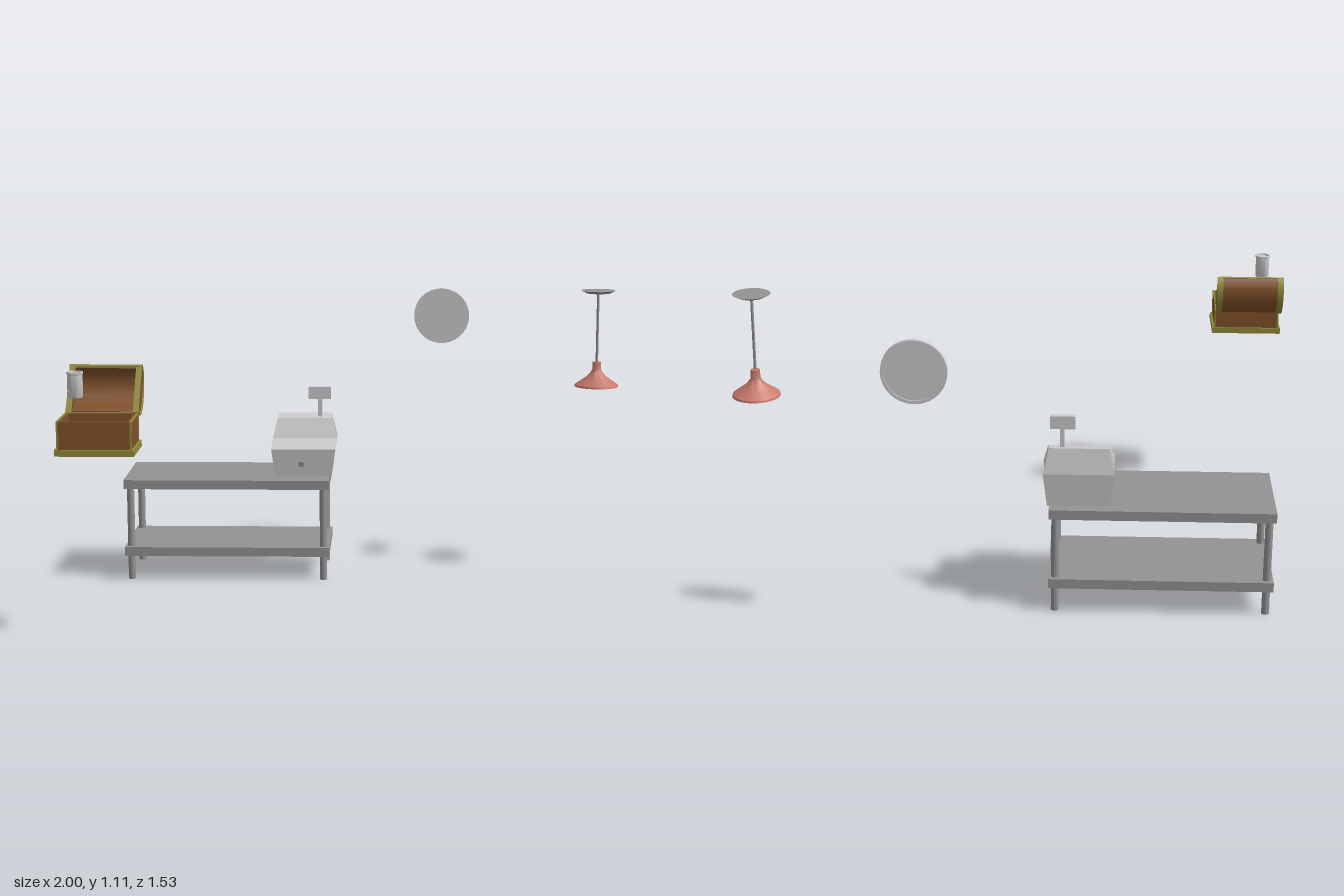
import * as THREE from 'three';
import { toCreasedNormals } from 'three/addons/utils/BufferGeometryUtils.js';

const material = (color) => new THREE.MeshStandardMaterial({ color, side: THREE.DoubleSide });
const grey = material(0xcccccc);
const steel = material(0x939393);
const wood = material(0x80512a);
const gold = material(0x8f8a3a);
const terracotta = material(0xc87a6c);

function add(parent, name, geometry, mat, x = 0, y = 0, z = 0) {
  const mesh = new THREE.Mesh(geometry, mat);
  mesh.name = name;
  mesh.position.set(x, y, z);
  parent.add(mesh);
  return mesh;
}

function subgroup(parent, name, x = 0, y = 0, z = 0) {
  const g = new THREE.Group();
  g.name = name;
  g.position.set(x, y, z);
  parent.add(g);
  return g;
}

const box = (w, h, d) => new THREE.BoxGeometry(w, h, d);
const cylinder = (rTop, rBottom, h, sides = 24) => new THREE.CylinderGeometry(rTop, rBottom, h, sides);
const lathe = (points, sides = 32) => toCreasedNormals(
  new THREE.LatheGeometry(points.map(([r, y]) => new THREE.Vector2(r, y)), sides), 0.6);

// Extrusion centred on its depth axis
function slab(shape, depth) {
  const g = new THREE.ExtrudeGeometry(shape, { depth, bevelEnabled: false, curveSegments: 16 });
  g.translate(0, 0, -depth / 2);
  return toCreasedNormals(g, 0.5);
}

function buildTable(root) {
  const table = subgroup(root, 'table', -0.517, 0, -0.381);
  add(table, 'tableTop', box(0.79, 0.035, 0.37), steel, 0, 0.377, 0);
  add(table, 'lowerShelf', box(0.79, 0.035, 0.37), steel, 0, 0.113, 0);
  for (const sx of [-1, 1]) for (const sz of [-1, 1])
    add(table, 'tableLeg', cylinder(0.014, 0.014, 0.37, 16), steel, sx * 0.372, 0.185, sz * 0.156);
}

function buildRegister(root) {
  const register = subgroup(root, 'cashRegister', -0.225, 0, 0);
  // Side profile: z, y and the half width at that height
  const profile = [
    [-0.298, 0.394, 0.11], [-0.286, 0.50, 0.124], [-0.418, 0.52, 0.125], [-0.455, 0.595, 0.108],
    [-0.516, 0.607, 0.105], [-0.535, 0.517, 0.125], [-0.525, 0.394, 0.11],
  ];
  const shape = new THREE.Shape(profile.map(([z, y]) => new THREE.Vector2(-z, y)));
  let body = new THREE.ExtrudeGeometry(shape, { depth: 2, bevelEnabled: false });
  body.translate(0, 0, -1);
  body.rotateY(Math.PI / 2);
  // Widen or narrow each profile corner to its own half width
  const p = body.attributes.position;
  for (let i = 0; i < p.count; i++) {
    const corner = profile.find(([z, y]) => Math.hypot(z - p.getZ(i), y - p.getY(i)) < 1e-4);
    p.setX(i, Math.sign(p.getX(i)) * corner[2]);
  }
  body.computeVertexNormals();
  add(register, 'registerBody', body, grey);

  const lock = add(register, 'drawerLock', cylinder(0.011, 0.011, 0.006, 16), steel, -0.008, 0.441, -0.292);
  lock.rotation.x = Math.PI / 2 + 0.11;
  add(register, 'displayPole', box(0.016, 0.08, 0.015), grey, 0.059, 0.635, -0.482);
  add(register, 'displayHead', box(0.088, 0.047, 0.021), grey, 0.058, 0.692, -0.482);
}

function buildWallDisc(root) {
  // Round plate with a raised rim on its back
  const disc = add(root, 'wallDisc', lathe([
    [0, 0.009], [0.111, 0.009], [0.111, -0.009], [0.1, -0.009], [0.1, -0.004], [0, -0.004],
  ].reverse(), 40), grey, 0.317, 0.967, -0.756);
  disc.rotation.x = Math.PI / 2;
}

function buildLamp(root) {
  const lamp = subgroup(root, 'hangingLamp', 0.911, 0, -0.383);
  add(lamp, 'ceilingMount', cylinder(0.066, 0.046, 0.01, 24), steel, 0, 1.104, 0);
  add(lamp, 'lampRod', cylinder(0.005, 0.005, 0.27, 10), steel, 0, 0.965, 0);
  add(lamp, 'lampShade', lathe([
    [0.085, 0.737], [0.083, 0.744], [0.06, 0.76], [0.036, 0.777], [0.023, 0.792],
    [0.017, 0.803], [0.016, 0.832], [0, 0.833],
  ]), terracotta);
  add(lamp, 'bulb', new THREE.SphereGeometry(0.02, 20, 14), grey, 0, 0.753, 0);
  add(lamp, 'bulbSocket', cylinder(0.01, 0.012, 0.04, 14), grey, 0, 0.788, 0);
}

// Half ellipse arch, hollow when an inset is given
function arch(a, b, inset = 0) {
  const shape = new THREE.Shape();
  shape.moveTo(a, 0);
  shape.absellipse(0, 0, a, b, 0, Math.PI, false);
  if (inset) {
    shape.lineTo(inset - a, 0);
    shape.absellipse(0, 0, a - inset, b - inset, Math.PI, 0, true);
  }
  shape.closePath();
  return shape;
}

function buildChest(root) {
  const chest = subgroup(root, 'chest', -0.867, 0, 0.667);
  add(chest, 'chestPlinth', box(0.266, 0.022, 0.2), gold, 0, 0.682, 0);
  add(chest, 'chestFloor', box(0.24, 0.006, 0.18), wood, 0, 0.696, 0);
  for (const s of [-1, 1]) {
    add(chest, 'longWall', box(0.248, 0.094, 0.013), wood, 0, 0.74, s * 0.087);
    add(chest, 'endWall', box(0.013, 0.094, 0.162), wood, s * 0.1175, 0.74, 0);
    // Thin frame edging each end
    add(chest, 'endFrameTop', box(0.006, 0.006, 0.189), gold, s * 0.1225, 0.785, 0);
    for (const t of [-1, 1])
      add(chest, 'endFramePost', box(0.006, 0.094, 0.006), gold, s * 0.1225, 0.74, t * 0.0915);
  }
  add(chest, 'hingeStrip', box(0.25, 0.006, 0.008), gold, 0, 0.786, -0.092);
  add(chest, 'paper', box(0.113, 0.004, 0.118), grey, 0.035, 0.702, -0.015);

  // Barrel lid, swung open about the back edge
  const lid = subgroup(chest, 'chestLid', 0, 0.862, -0.153);
  const along = new THREE.Vector3(0, 0.779, -0.627);
  const outward = new THREE.Vector3(0, -0.627, -0.779);
  lid.quaternion.setFromRotationMatrix(
    new THREE.Matrix4().makeBasis(along, outward, new THREE.Vector3(-1, 0, 0)));
  add(lid, 'lidShell', slab(arch(0.092, 0.077, 0.012), 0.236), wood);
  for (const s of [-1, 1]) {
    add(lid, 'lidEndPanel', slab(arch(0.09, 0.075), 0.012), wood, 0, 0.001, s * 0.116);
    add(lid, 'lidBand', slab(arch(0.096, 0.081, 0.008), 0.022), gold, 0, 0, s * 0.116);
    add(lid, 'lidEdge', box(0.188, 0.004, 0.02), gold, 0, 0.001, s * 0.115);
  }
  add(lid, 'lidFrontEdge', box(0.009, 0.006, 0.236), gold, 0.09, 0.001, 0);
}

function buildCup(root) {
  add(root, 'cup', lathe([
    [0, 0.863], [0.024, 0.863], [0.026, 0.868], [0.026, 0.94], [0.028, 0.942], [0.028, 0.949],
    [0.024, 0.949], [0.023, 0.943], [0, 0.943],
  ], 24), grey, -0.932, 0, 0.716);
}

export function createModel() {
  const model = new THREE.Group();
  model.name = 'shopFurnishings';
  buildTable(model);
  buildRegister(model);
  buildWallDisc(model);
  buildLamp(model);
  buildChest(model);
  buildCup(model);
  return model;
}
